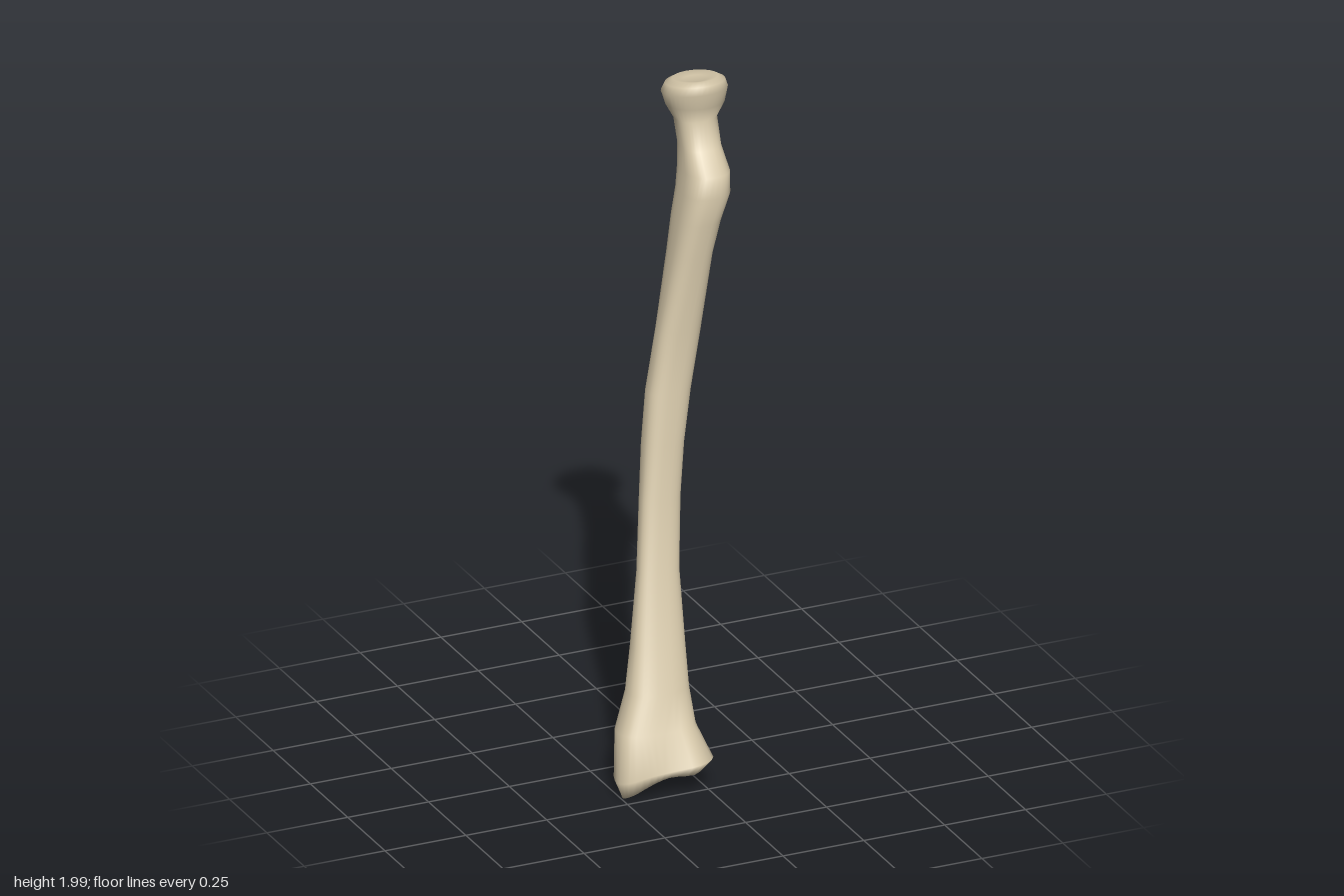
import * as THREE from 'three';

const SEGMENTS = 36;

// Rounded-box ring given its extents; tilt lowers the side facing the back
function oval(y, x0, x1, z0, z1, power = 0.78, tilt = 0) {
  const ring = [];
  const soften = v => Math.sign(v) * Math.pow(Math.abs(v), power);
  for (let i = 0; i < SEGMENTS; i++) {
    const a = (i / SEGMENTS) * Math.PI * 2;
    const dz = soften(Math.sin(a)) * (z1 - z0) / 2;
    ring.push(new THREE.Vector3(
      (x0 + x1) / 2 + soften(Math.cos(a)) * (x1 - x0) / 2,
      y + tilt * dz,
      (z0 + z1) / 2 + dz));
  }
  return ring;
}

// Irregular ring through a few points, starting at +x and turning towards +z
function outline(points) {
  const curve = new THREE.CatmullRomCurve3(points.map(p => new THREE.Vector3(...p)), true);
  return Array.from({ length: SEGMENTS }, (_, i) => curve.getPoint(i / SEGMENTS));
}

// Ring shrunk towards a centre point
function shrink(ring, centre, amount) {
  return ring.map(p => p.clone().lerp(centre, amount));
}

// Closed skin over rings listed from bottom to top
function loft(rings) {
  const positions = [], index = [];
  for (const ring of rings) for (const p of ring) positions.push(p.x, p.y, p.z);
  for (let r = 0; r < rings.length - 1; r++) {
    for (let i = 0; i < SEGMENTS; i++) {
      const j = (i + 1) % SEGMENTS;
      const a = r * SEGMENTS + i, b = r * SEGMENTS + j;
      const c = a + SEGMENTS, d = b + SEGMENTS;
      index.push(a, c, b, b, c, d);
    }
  }
  // End caps
  for (const [r, top] of [[0, false], [rings.length - 1, true]]) {
    const mid = new THREE.Vector3();
    rings[r].forEach(p => mid.addScaledVector(p, 1 / SEGMENTS));
    const m = positions.length / 3;
    positions.push(mid.x, mid.y, mid.z);
    for (let i = 0; i < SEGMENTS; i++) {
      const a = r * SEGMENTS + i, b = r * SEGMENTS + (i + 1) % SEGMENTS;
      if (top) index.push(m, b, a); else index.push(m, a, b);
    }
  }
  const geometry = new THREE.BufferGeometry();
  geometry.setAttribute('position', new THREE.Float32BufferAttribute(positions, 3));
  geometry.setIndex(index);
  geometry.computeVertexNormals();
  return geometry;
}

export function createModel() {
  const bone = new THREE.MeshStandardMaterial({ color: 0xd6c8aa });
  bone.name = 'bone';

  // Wide lower end: bottom edge with a pointed outer corner, then the lip above it
  const bottomEdge = outline([
    [-0.01, 0.05, 0.17], [0, 0.07, 0.23], [-0.05, 0.065, 0.27], [-0.12, 0.06, 0.25],
    [-0.17, 0.045, 0.245], [-0.225, 0.012, 0.225], [-0.245, 0.003, 0.205], [-0.225, 0.02, 0.17],
    [-0.165, 0.03, 0.13], [-0.12, 0.02, 0.12], [-0.07, 0.03, 0.12], [-0.01, 0.04, 0.14]]);
  const lip = outline([
    [0, 0.085, 0.17], [0.02, 0.095, 0.24], [-0.04, 0.10, 0.29], [-0.12, 0.085, 0.268],
    [-0.18, 0.075, 0.255], [-0.24, 0.06, 0.24], [-0.26, 0.05, 0.2], [-0.245, 0.06, 0.15],
    [-0.17, 0.07, 0.10], [-0.11, 0.06, 0.088], [-0.06, 0.06, 0.088], [0, 0.06, 0.12]]);
  const socket = shrink(bottomEdge, new THREE.Vector3(-0.11, 0.065, 0.19), 0.45);

  // Shaft: height, then extents in x and z
  const shaft = [
    [0.18, -0.235, 0, 0.08, 0.215],
    [0.28, -0.188, -0.005, 0.055, 0.175],
    [0.40, -0.16, 0, 0.035, 0.13],
    [0.60, -0.115, 0.01, -0.01, 0.06],
    [0.80, -0.085, 0.035, -0.06, 0.015],
    [0.95, -0.062, 0.06, -0.10, -0.01],
    [1.10, -0.04, 0.09, -0.12, -0.03],
    [1.27, 0, 0.13, -0.14, -0.05],
    [1.50, 0.045, 0.165, -0.17, -0.037],
    [1.60, 0.062, 0.19, -0.183, -0.03],
    [1.68, 0.078, 0.218, -0.192, -0.024],
    [1.74, 0.09, 0.222, -0.206, -0.036],
    [1.80, 0.10, 0.215, -0.215, -0.09],
  ].map(s => oval(...s));

  // Neck and round head with a shallow dish on top
  const head = [
    [1.87, 0.10, 0.222, -0.245, -0.13, 0.9, 0.05],
    [1.91, 0.08, 0.25, -0.277, -0.117, 1, 0.1],
    [1.95, 0.069, 0.26, -0.29, -0.111, 1, 0.14],
    [1.975, 0.079, 0.25, -0.281, -0.112, 1, 0.16],
    [1.987, 0.10, 0.23, -0.26, -0.13, 1, 0.16],
    [1.98, 0.13, 0.20, -0.23, -0.16, 1, 0.16],
  ].map(s => oval(...s));

  const mesh = new THREE.Mesh(loft([socket, bottomEdge, lip, ...shaft, ...head]), bone);
  mesh.name = 'forearmBone';
  const group = new THREE.Group();
  group.name = 'bone';
  group.add(mesh);
  return group;
}
